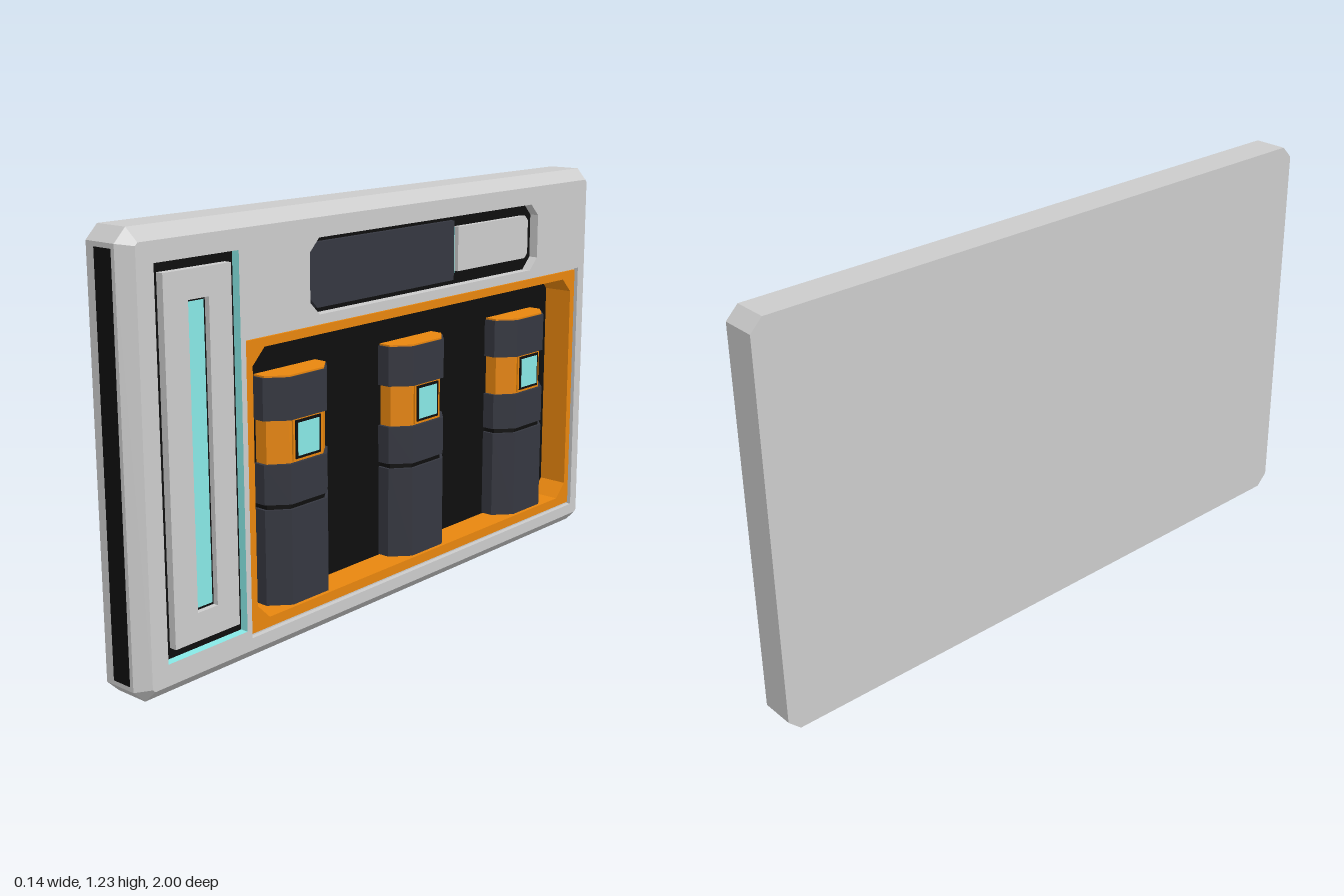
import * as THREE from 'three';

const material = (color) => new THREE.MeshStandardMaterial({ color, flatShading: true });
const GREY = material(0xcccccc), BLACK = material(0x0e0e0e), DARK = material(0x353740);
const ORANGE = material(0xe8860e), CYAN = material(0x88e8e6);

// Everything is laid out facing +z (u across, v up, w outward), then turned to face +x.

// Rectangle with cut corners, counter-clockwise; cl and cr are the left and right cuts.
function panel(u0, u1, v0, v1, cl = 0, cr = cl) {
  const points = [
    [u0 + cl, v0], [u1 - cr, v0], [u1, v0 + cr], [u1, v1 - cr],
    [u1 - cr, v1], [u0 + cl, v1], [u0, v1 - cl], [u0, v0 + cl],
  ].map(([u, v]) => new THREE.Vector2(u, v));
  return points.filter((p, i) => !p.equals(points[(i + 1) % points.length]));
}

function shapeOf(outline, holes = []) {
  const shape = new THREE.Shape(outline);
  shape.holes = holes.map((h) => new THREE.Path(h));
  return shape;
}

// Walls between rings [outline, w]; rising w faces outward, falling w faces inward.
function walls(...rings) {
  const pos = [];
  for (let r = 0; r + 1 < rings.length; r++) {
    const [a, wa] = rings[r], [b, wb] = rings[r + 1];
    a.forEach((p, i) => {
      const j = (i + 1) % a.length, q = a[j];
      pos.push(p.x, p.y, wa, q.x, q.y, wa, b[j].x, b[j].y, wb);
      pos.push(p.x, p.y, wa, b[j].x, b[j].y, wb, b[i].x, b[i].y, wb);
    });
  }
  const geometry = new THREE.BufferGeometry();
  geometry.setAttribute('position', new THREE.Float32BufferAttribute(pos, 3));
  geometry.computeVertexNormals();
  return geometry;
}

function add(group, name, geometry, mat) {
  const mesh = new THREE.Mesh(geometry, mat);
  mesh.name = name;
  group.add(mesh);
  return mesh;
}

function face(group, name, outline, w, mat, holes) {
  return add(group, name, new THREE.ShapeGeometry(shapeOf(outline, holes)).translate(0, 0, w), mat);
}

function plate(group, name, outline, w0, w1, mat, holes) {
  const geometry = new THREE.ExtrudeGeometry(shapeOf(outline, holes), { depth: w1 - w0, bevelEnabled: false });
  return add(group, name, geometry.translate(0, 0, w0), mat);
}

// Upright prism with a flat front and slanted front corners, shrunk by inset.
function prism(group, name, v0, v1, inset, mat) {
  const h = 0.1275 - inset, f = 0.0725 - inset * 0.6, front = 0.055 - inset;
  const section = [[-h, -0.036], [-h, 0.005], [-f, front], [f, front], [h, 0.005], [h, -0.036]]
    .map(([u, w]) => new THREE.Vector2(u, -w));
  const geometry = new THREE.ExtrudeGeometry(shapeOf(section), { depth: v1 - v0, bevelEnabled: false });
  add(group, name, geometry.rotateX(-Math.PI / 2).translate(0, v0, 0), mat);
}

function canister(u) {
  const group = new THREE.Group();
  group.name = 'canister';
  group.position.x = u;
  prism(group, 'canisterBase', 0.11, 0.39, 0, DARK);
  prism(group, 'canisterGroove', 0.39, 0.405, 0.008, BLACK);
  prism(group, 'canisterMiddle', 0.405, 0.52, 0, DARK);
  prism(group, 'canisterBand', 0.52, 0.645, 0.01, ORANGE);
  prism(group, 'canisterTop', 0.645, 0.765, 0, DARK);
  prism(group, 'canisterCap', 0.765, 0.77, 0.006, ORANGE);
  // Small window on the band
  plate(group, 'windowBezel', panel(-0.0575, 0.0575, 0.524, 0.645), 0.04, 0.05, ORANGE);
  plate(group, 'windowBorder', panel(-0.05, 0.05, 0.53, 0.64), 0.045, 0.053, BLACK);
  plate(group, 'windowGlass', panel(-0.042, 0.042, 0.538, 0.632), 0.05, 0.055, CYAN);
  return group;
}

export function createModel() {
  const root = new THREE.Group();
  root.name = 'wallPanel';
  const group = new THREE.Group();
  group.name = 'panelAssembly';
  group.rotation.y = Math.PI / 2;
  root.add(group);

  const FRONT = 0.07, BACK = -0.07;
  const bayHole = panel(-0.61, 0.93, 0.07, 0.9);
  const lightHole = panel(-0.91, -0.628, 0.095, 1.135);
  const displayHole = panel(-0.367, 0.69, 0.925, 1.135, 0.037);

  // Casing with chamfered front
  const outline = panel(-1, 1, 0, 1.225, 0.037);
  const inner = panel(-0.965, 0.965, 0.035, 1.19, 0.008);
  add(group, 'casingSides', walls([outline, BACK], [outline, 0.035], [inner, FRONT]), GREY);
  face(group, 'casingFront', inner, FRONT, GREY, [bayHole, lightHole, displayHole]);
  face(group, 'casingBack', outline, 0, GREY).geometry.rotateY(Math.PI).translate(0, 0, BACK);

  // Black strip on one end
  add(group, 'endStrip', new THREE.BoxGeometry(0.01, 1.125, 0.063).translate(-0.996, 0.6125, -0.009), BLACK);

  // Bay with its orange frame and lining
  const bay = panel(-0.58, 0.9, 0.107, 0.868, 0.045);
  const frame = panel(-0.603, 0.923, 0.078, 0.893);
  add(group, 'bayStep', walls([bayHole, FRONT], [bayHole, 0.055]), GREY);
  face(group, 'bayGap', bayHole, 0.055, GREY, [frame]);
  add(group, 'bayFrameEdge', walls([frame, 0.055], [frame, 0.062]), ORANGE);
  face(group, 'bayFrame', frame, 0.062, ORANGE, [bay]);
  add(group, 'bayLining', walls([bay, 0.062], [bay, -0.035]), ORANGE);
  face(group, 'bayFloor', bay, -0.035, BLACK);
  for (const u of [-0.3625, 0.16, 0.685]) group.add(canister(u));

  // Tall light panel in a dark groove with lit walls
  add(group, 'lightGrooveWalls', walls([lightHole, FRONT], [lightHole, 0.045]), CYAN);
  face(group, 'lightGrooveFloor', lightHole, 0.045, BLACK);
  const slot = panel(-0.802, -0.732, 0.203, 1.03);
  plate(group, 'lightPanel', panel(-0.882, -0.654, 0.125, 1.107), 0.045, 0.068, GREY, [slot]);
  face(group, 'lightSlot', slot, 0.052, BLACK);
  face(group, 'lightBar', panel(-0.797, -0.738, 0.21, 1.023), 0.054, CYAN);

  // Upper display with a dark and a light section
  add(group, 'displayWalls', walls([displayHole, FRONT], [displayHole, 0.04]), GREY);
  face(group, 'displayFloor', displayHole, 0.04, BLACK);
  plate(group, 'displayScreen', panel(-0.352, 0.278, 0.94, 1.12, 0.03, 0), 0.04, 0.054, DARK);
  plate(group, 'displayLight', panel(0.279, 0.283, 0.96, 1.1), 0.04, 0.052, CYAN);
  plate(group, 'displayTab', panel(0.293, 0.652, 0.965, 1.1, 0, 0.015), 0.04, 0.058, GREY);

  return root;
}
